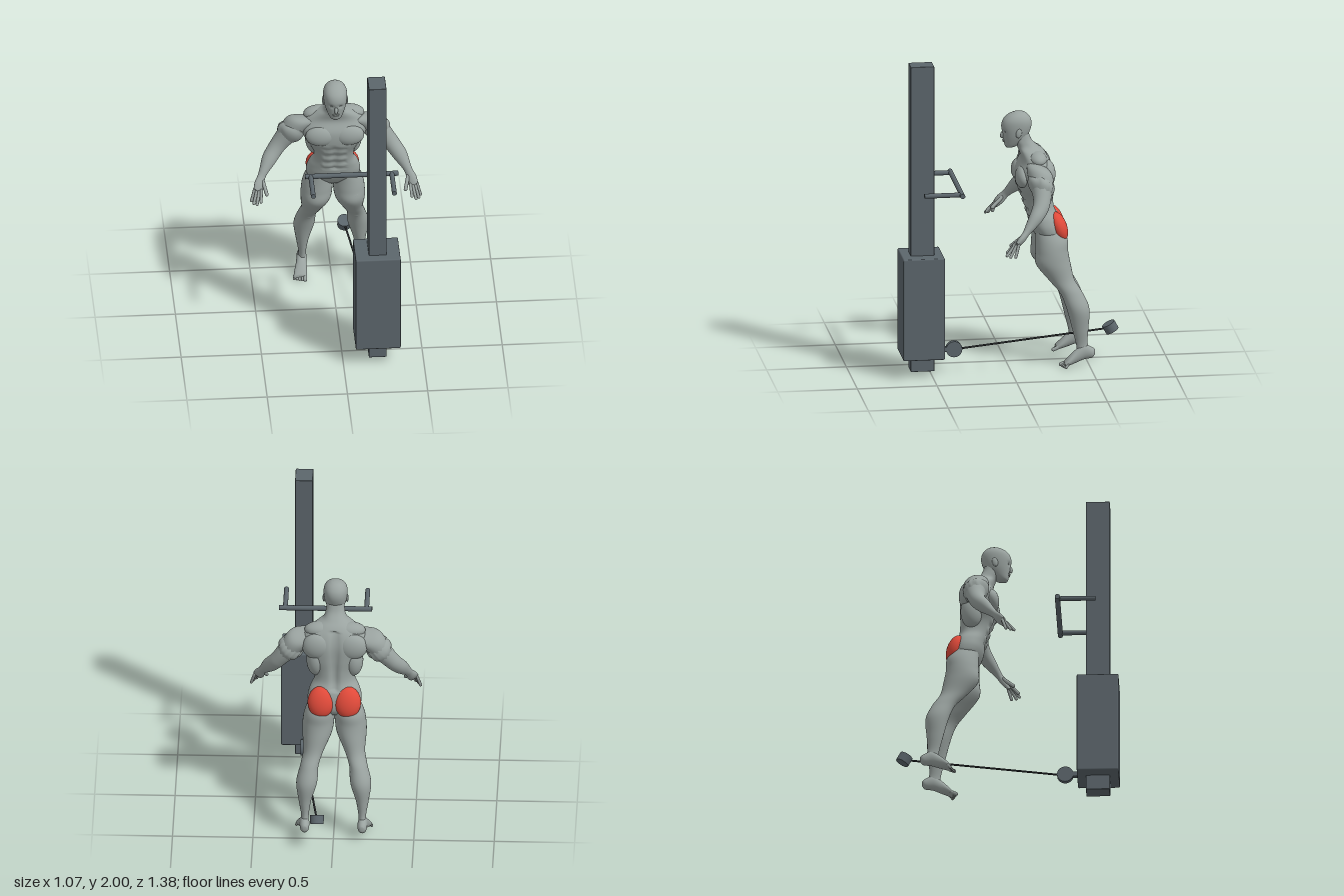
import * as THREE from 'three';
import { RoundedBoxGeometry } from 'three/addons/geometries/RoundedBoxGeometry.js';

const V = (x, y, z) => new THREE.Vector3(x, y, z);
const UP = V(0, 1, 0);
const X = V(1, 0, 0), Y = V(0, 1, 0), Z = V(0, 0, 1);

// Smooth closed loft through sections [x, y, z, radiusU, radiusV]; s mirrors it in x
function loft(sections, u, v, { s = 1, power = 2, steps = 6, sides = 32, sculpt } = {}) {
  const centres = new THREE.CatmullRomCurve3(sections.map(c => V(c[0] * s, c[1], c[2])), false, 'catmullrom');
  const radii = new THREE.CatmullRomCurve3(sections.map(c => V(c[3], c[4], 0)), false, 'catmullrom');
  u = V(u.x * s, u.y, u.z);
  v = V(v.x * s, v.y, v.z);
  const rows = (sections.length - 1) * steps, pos = [], idx = [];
  const round = k => Math.sign(k) * Math.pow(Math.abs(k), 2 / power);
  for (let i = 0; i <= rows; i++) {
    const c = centres.getPoint(i / rows), r = radii.getPoint(i / rows);
    for (let j = 0; j < sides; j++) {
      const a = j / sides * Math.PI * 2;
      const p = c.clone().addScaledVector(u, round(Math.cos(a)) * r.x).addScaledVector(v, round(Math.sin(a)) * r.y);
      if (sculpt) sculpt(p, c, a);
      pos.push(p.x, p.y, p.z);
    }
  }
  const first = centres.getPoint(0), last = centres.getPoint(1);
  pos.push(...first.toArray(), ...last.toArray());
  const flip = u.clone().cross(v).dot(last.clone().sub(first)) < 0;
  const tri = (a, b, c) => flip ? idx.push(a, c, b) : idx.push(a, b, c);
  const n = (rows + 1) * sides;
  for (let j = 0; j < sides; j++) {
    const k = (j + 1) % sides, top = rows * sides;
    for (let i = 0; i < rows; i++) {
      const a = i * sides + j, b = i * sides + k;
      tri(a, b, b + sides);
      tri(a, b + sides, a + sides);
    }
    tri(n, k, j);
    tri(n + 1, top + j, top + k);
  }
  const g = new THREE.BufferGeometry();
  g.setAttribute('position', new THREE.Float32BufferAttribute(pos, 3));
  g.setIndex(idx);
  g.computeVertexNormals();
  return g;
}

export function createModel() {
  const model = new THREE.Group();
  const mat = (name, color) => Object.assign(new THREE.MeshStandardMaterial({ color }), { name });
  const skin = mat('bodyGrey', 0x9aa3a0);
  const red = mat('activeMuscleRed', 0xe04a3a);
  const steel = mat('machineGrey', 0x5c666c);
  const dark = mat('cableDark', 0x2c2f31);

  const add = (name, geo, material, parent = model) => {
    const m = new THREE.Mesh(geo, material);
    m.name = name;
    parent.add(m);
    return m;
  };
  const block = (name, min, max, r) => {
    const size = max.clone().sub(min);
    add(name, new RoundedBoxGeometry(size.x, size.y, size.z, 2, r), steel).position.copy(min).add(max).multiplyScalar(1)
      .sub(min.clone().add(max).multiplyScalar(0.5));
  };
  const aim = (mesh, a, b) => {
    mesh.position.copy(a).lerp(b, 0.5);
    mesh.quaternion.setFromUnitVectors(UP, b.clone().sub(a).normalize());
    return mesh;
  };
  const bar = (name, a, b, r, material) =>
    aim(add(name, new THREE.CylinderGeometry(r, r, a.distanceTo(b), 20), material), a, b);
  const digit = (name, a, b, r, parent) =>
    aim(add(name, new THREE.CapsuleGeometry(r, a.distanceTo(b), 5, 10), skin, parent), a, b);
  const blob = (name, p, r, parent, material = skin, tilt = 0) => {
    const m = add(name, new THREE.SphereGeometry(1, 28, 20), material, parent);
    m.position.copy(p);
    m.scale.copy(r);
    m.rotation.x = tilt;
  };

  // Cable machine
  block('column', V(0.16, 0.03, 0.485), V(0.27, 2, 0.633), 0.004);
  block('weightHousing', V(0.075, 0.125, 0.43), V(0.355, 0.78, 0.69), 0.008);
  block('pulleyBracket', V(0.2, 0.14, 0.35), V(0.23, 0.172, 0.44), 0.004);
  bar('pulley', V(0.199, 0.155, 0.355), V(0.231, 0.155, 0.355), 0.051, steel);
  bar('handleCrossbar', V(-0.215, 1.18, 0.32), V(0.365, 1.18, 0.32), 0.016, steel);
  for (const x of [-0.18, 0.325]) bar('handleArm', V(x, 1.18, 0.32), V(x, 1.18, 0.555), 0.015, steel);
  bar('cable', V(0.21, 0.155, 0.31), V(0.1, 0.217, -0.62), 0.006, dark);
  const cuff = V(0.098, 0.223, -0.642), cuffAxis = V(0, 0.024, 0.0135);
  bar('cableCuff', cuff.clone().sub(cuffAxis), cuff.clone().add(cuffAxis), 0.043, steel);

  const figure = new THREE.Group();
  figure.name = 'figure';
  model.add(figure);

  // Torso, with spine groove and abdominal rows
  add('torso', loft([
    [0, 0.79, -0.265, 0.06, 0.06], [0, 0.83, -0.26, 0.15, 0.085], [0, 0.88, -0.247, 0.168, 0.097],
    [0, 0.94, -0.232, 0.155, 0.097], [0, 1.0, -0.208, 0.126, 0.093], [0, 1.07, -0.193, 0.132, 0.1],
    [0, 1.15, -0.178, 0.175, 0.115], [0, 1.24, -0.175, 0.212, 0.115], [0, 1.31, -0.18, 0.19, 0.09],
    [0, 1.36, -0.16, 0.12, 0.078], [0, 1.39, -0.135, 0.072, 0.066], [0, 1.43, -0.105, 0.058, 0.056],
    [0, 1.49, -0.085, 0.054, 0.053],
  ], X, Z, {
    power: 2.3, sides: 64, sculpt: (p, c) => {
      const mid = Math.exp(-((p.x / 0.022) ** 2));
      if (p.z < c.z - 0.03 && p.y > 0.95 && p.y < 1.34) p.z += 0.02 * mid;
      if (p.z > c.z + 0.03 && p.y > 0.93 && p.y < 1.15 && Math.abs(p.x) < 0.075)
        p.z += 0.005 * Math.cos((p.y - 0.965) * Math.PI * 2 / 0.06) - 0.01 * mid;
    },
  }), skin, figure);

  // Head: sections as y, front, back, half width
  add('head', loft([
    [1.383, -0.005, -0.04, 0.016], [1.395, 0.006, -0.07, 0.036], [1.43, 0.014, -0.115, 0.054],
    [1.47, 0.02, -0.142, 0.067], [1.52, 0.028, -0.16, 0.074], [1.56, 0.018, -0.158, 0.072],
    [1.59, -0.01, -0.14, 0.057], [1.608, -0.045, -0.115, 0.032], [1.614, -0.07, -0.09, 0.01],
  ].map(([y, f, b, w]) => [0, y, (f + b) / 2, w, (f - b) / 2]), X, Z, {
    power: 2.15, sides: 40,
    // Eye sockets
    sculpt: p => { if (p.z > -0.04) p.z -= 0.011 * Math.exp(-(((Math.abs(p.x) - 0.028) / 0.014) ** 2) - ((p.y - 1.493) / 0.011) ** 2); },
  }), skin, figure);
  blob('nose', V(0, 1.468, 0.019), V(0.011, 0.026, 0.015), figure, skin, -0.35);
  blob('upperLip', V(0, 1.433, 0.012), V(0.021, 0.005, 0.01), figure);
  blob('lowerLip', V(0, 1.424, 0.01), V(0.018, 0.006, 0.01), figure);

  for (const s of [1, -1]) {
    const side = new THREE.Group();
    side.name = s > 0 ? 'leftSide' : 'rightSide';
    figure.add(side);
    const at = (x, y, z) => V(x * s, y, z);

    // Face and trunk muscles
    blob('eye', at(0.027, 1.493, 0.005), V(0.011, 0.006, 0.008), side);
    blob('ear', at(0.072, 1.488, -0.072), V(0.009, 0.03, 0.018), side, skin, -0.2);
    blob('pectoral', at(0.088, 1.215, -0.092), V(0.095, 0.068, 0.046), side, skin, -0.1);
    blob('shoulderBlade', at(0.105, 1.235, -0.24), V(0.098, 0.09, 0.056), side);
    blob('latissimus', at(0.115, 1.13, -0.215), V(0.062, 0.11, 0.07), side);
    blob('trapezius', at(0.09, 1.325, -0.185), V(0.1, 0.05, 0.06), side);
    blob('gluteus', at(0.083, 0.88, -0.318), V(0.083, 0.1, 0.054), side, red, 0.32);

    // Arm down to the palm
    const armU = V(0.78, 0.62, 0), armV = V(-0.18, 0.226, 0.957);
    add('arm', loft([
      [0.14, 1.285, -0.18, 0.05, 0.07], [0.225, 1.258, -0.185, 0.073, 0.083], [0.285, 1.185, -0.185, 0.066, 0.068],
      [0.335, 1.125, -0.18, 0.054, 0.055], [0.37, 1.08, -0.165, 0.05, 0.05], [0.41, 1.03, -0.13, 0.046, 0.044],
      [0.443, 0.98, -0.088, 0.031, 0.03], [0.459, 0.95, -0.062, 0.027, 0.022], [0.475, 0.912, -0.03, 0.035, 0.022],
      [0.487, 0.883, -0.004, 0.032, 0.014],
    ], armU, armV, { s }), skin, side);
    // Ragged band of muscle round the upper arm
    add('upperArmBand', loft([
      [0.238, 1.235, -0.185, 0.066, 0.074], [0.265, 1.208, -0.185, 0.08, 0.082],
      [0.285, 1.183, -0.185, 0.078, 0.077], [0.31, 1.153, -0.183, 0.052, 0.055],
    ], armU, armV, {
      s, sculpt: (p, c, a) => p.sub(c).multiplyScalar(1 + 0.05 * Math.sin(a * 7 + p.y * 160)).add(c),
    }), skin, side);

    // Fingers: knuckle, then tip
    [
      [0.464, 0.892, 0.005, 0.47, 0.838, 0.055], [0.479, 0.885, 0.01, 0.495, 0.824, 0.06],
      [0.494, 0.885, 0.002, 0.514, 0.82, 0.04], [0.506, 0.892, -0.012, 0.526, 0.822, 0.01],
    ].forEach(f => digit('finger', at(f[0], f[1], f[2]), at(f[3], f[4], f[5]), 0.0095, side));
    digit('thumb', at(0.452, 0.93, -0.04), at(0.432, 0.872, 0.025), 0.0115, side);

    // Leg
    add('leg', loft([
      [0.085, 0.87, -0.26, 0.07, 0.085], [0.093, 0.8, -0.275, 0.092, 0.1], [0.1, 0.73, -0.275, 0.098, 0.102],
      [0.108, 0.65, -0.283, 0.092, 0.108], [0.128, 0.55, -0.333, 0.064, 0.08], [0.152, 0.47, -0.39, 0.057, 0.07],
      [0.168, 0.37, -0.43, 0.065, 0.071], [0.178, 0.25, -0.442, 0.04, 0.052], [0.178, 0.15, -0.452, 0.024, 0.037],
      [0.18, 0.09, -0.465, 0.027, 0.042],
    ], X, Z, { s }), skin, side);
    blob('thighFront', at(0.105, 0.685, -0.24), V(0.08, 0.09, 0.068), side, skin, 0.2);
    blob('kneecap', at(0.15, 0.49, -0.335), V(0.03, 0.04, 0.024), side, skin, 0.35);

    // Foot from heel to toes, sloping down to the front
    add('foot', loft([
      [0.178, 0.09, -0.534, 0.012, 0.016], [0.179, 0.088, -0.515, 0.027, 0.034], [0.181, 0.094, -0.465, 0.031, 0.048],
      [0.187, 0.07, -0.415, 0.034, 0.042], [0.193, 0.042, -0.37, 0.041, 0.028], [0.197, 0.022, -0.34, 0.04, 0.015],
    ], X, Y, { s }), skin, side);
    for (let i = 0; i < 5; i++) {
      const x = 0.166 + i * 0.0165, r = i ? 0.0085 : 0.012;
      digit('toe', at(x, 0.026, -0.35 - i * 0.002), at(x + 0.002, r + 0.002, -0.322 - i * 0.006), r, side);
    }
  }
  return model;
}
